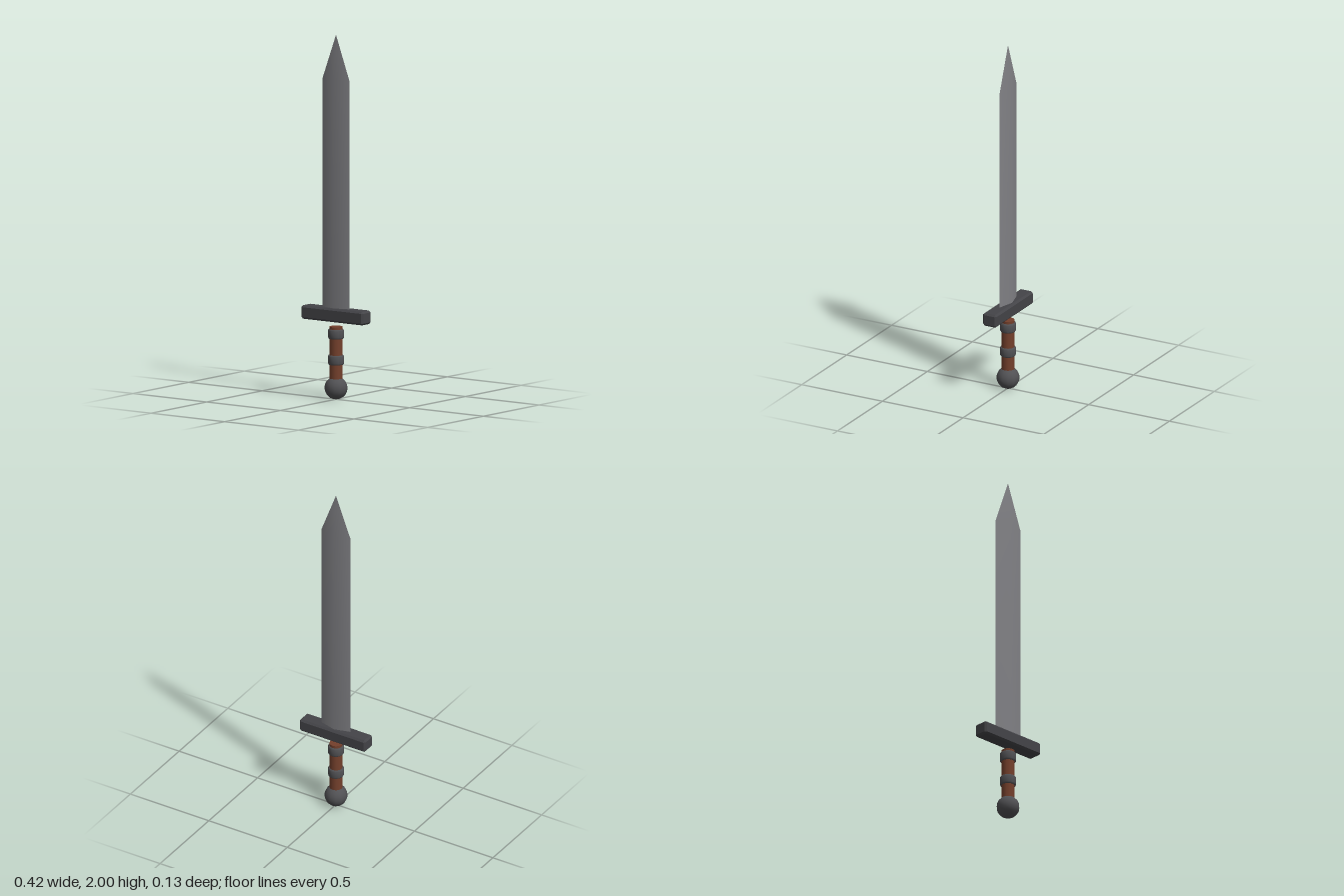
import * as THREE from 'three';
import { toCreasedNormals } from 'three/addons/utils/BufferGeometryUtils.js';
import { ConvexGeometry } from 'three/addons/geometries/ConvexGeometry.js';

const mat = (name, color) => {
  const m = new THREE.MeshStandardMaterial({ color });
  m.name = name;
  return m;
};

export function createModel() {
  const group = new THREE.Group();
  group.name = 'sword';
  const steel = mat('blade steel', 0x808084);
  const iron = mat('dark iron', 0x444448);
  const fittings = mat('grey fittings', 0x515154);
  const leather = mat('brown leather', 0x74402c);

  const add = (name, geometry, material, y = 0) => {
    const mesh = new THREE.Mesh(geometry, material);
    mesh.name = name;
    mesh.position.y = y;
    group.add(mesh);
  };

  // Blade: diamond section drawn to a point, soft ridge and sharp edges
  const section = (y) => [[0.093, 0], [0, 0.025], [-0.093, 0], [0, -0.025]]
    .map(([x, z]) => new THREE.Vector3(x, y, z));
  const blade = new ConvexGeometry([...section(0.49), ...section(1.75), new THREE.Vector3(0, 2, 0)]);
  add('blade', toCreasedNormals(blade, Math.PI / 4), steel);

  // Crossguard: bar with chamfered edges
  const half = [0.21, 0.037, 0.042], bevel = 0.01, corners = [];
  for (let axis = 0; axis < 3; axis++)
    for (const sx of [-1, 1]) for (const sy of [-1, 1]) for (const sz of [-1, 1]) {
      const p = half.map((h, i) => (i === axis ? h : h - bevel));
      corners.push(new THREE.Vector3(sx * p[0], sy * p[1], sz * p[2]));
    }
  add('crossguard', new ConvexGeometry(corners), iron, 0.467);

  // Grip with two raised collars
  const grip = new THREE.CylinderGeometry(0.036, 0.036, 0.3, 12);
  add('grip', grip, leather, 0.252);
  const profile = [[0.034, -0.026], [0.04, -0.026], [0.044, -0.02], [0.044, 0.02], [0.04, 0.026], [0.034, 0.026]]
    .map(([r, y]) => new THREE.Vector2(r, y));
  for (const [name, y] of [['upperCollar', 0.362], ['lowerCollar', 0.22]])
    add(name, toCreasedNormals(new THREE.LatheGeometry(profile, 12), Math.PI / 5), fittings, y);

  // Round pommel
  add('pommel', new THREE.SphereGeometry(0.063, 12, 10), fittings, 0.066);

  return group;
}
